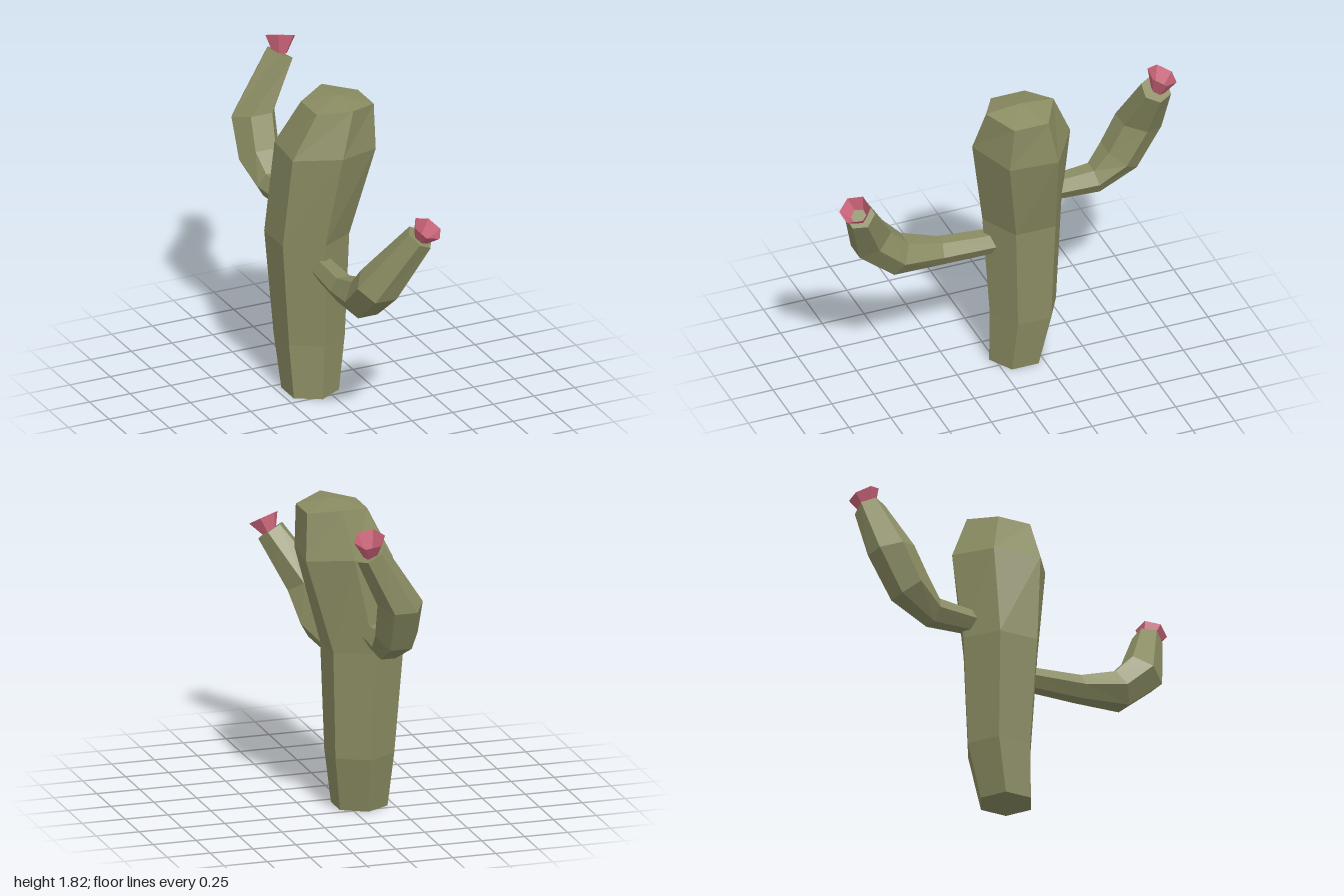
import * as THREE from 'three';

const SIDES = 6;
const V = (a) => new THREE.Vector3(...a);

// Six points around c in the plane of s and u, counterclockwise about s x u.
function hexRing(c, s, u, r, turn = 0) {
  return Array.from({ length: SIDES }, (_, k) => {
    const a = turn + (k / SIDES) * Math.PI * 2;
    return c.clone().addScaledVector(s, r * Math.cos(a)).addScaledVector(u, r * Math.sin(a));
  });
}

// Skin consecutive rings; optional fan caps close the ends at the given points.
function loft(rings, startCap, endCap) {
  const pos = [];
  const tri = (...pts) => pts.forEach((p) => pos.push(p.x, p.y, p.z));
  for (let k = 0; k < SIDES; k++) {
    const n = (k + 1) % SIDES;
    for (let i = 0; i + 1 < rings.length; i++) {
      const a = rings[i], b = rings[i + 1];
      tri(a[k], a[n], b[n]);
      tri(a[k], b[n], b[k]);
    }
    const last = rings[rings.length - 1];
    if (startCap) tri(startCap, rings[0][n], rings[0][k]);
    if (endCap) tri(endCap, last[k], last[n]);
  }
  const geo = new THREE.BufferGeometry();
  geo.setAttribute('position', new THREE.Float32BufferAttribute(pos, 3));
  geo.computeVertexNormals();
  return geo;
}

// Ring axes facing along t, with the side axis kept as near +x as possible.
function axes(t) {
  const s = new THREE.Vector3(1, 0, 0);
  s.addScaledVector(t, -s.dot(t)).normalize();
  return [s, t.clone().cross(s)];
}

// Trunk: rows of [x, y, z, radius, turn, lift of the front and back corners]
function trunkGeometry() {
  const rows = [
    [-0.072, 0, -0.13, 0.16, 0, 0],
    [-0.06, 0.32, -0.167, 0.198, 0, 0],
    [-0.075, 0.94, -0.167, 0.236, 0, 0.01],
    [0.018, 1.47, -0.125, 0.284, -0.09, 0.03],
    [0.077, 1.73, -0.092, 0.202, 0, 0.03],
  ];
  const rings = rows.map(([x, y, z, r, turn, lift]) => {
    const ring = hexRing(V([x, y, z]), V([0, 0, 1]), V([1, 0, 0]), r, turn);
    ring.forEach((p, k) => { if (k % 3 === 0) p.y += lift; });
    return ring;
  });
  return loft(rings, V([-0.072, 0, -0.13]), V([0.077, 1.78, -0.09]));
}

// Arm: rows of [x, y, z, radius] along its centre line
function armGeometry(rows) {
  const pts = rows.map(V3 => V(V3.slice(0, 3)));
  const end = pts.length - 1;
  const rings = pts.map((p, i) => {
    const t = pts[Math.min(i + 1, end)].clone().sub(pts[Math.max(i - 1, 0)]);
    if (i < end) t.x = 0; // only the tip leans sideways
    return hexRing(p, ...axes(t.normalize()), rows[i][3]);
  });
  return loft(rings, pts[0], pts[end]);
}

// Flower: open six-sided cup from its base to its rim
function flowerGeometry(base, rim, axis) {
  const [s, u] = axes(V(axis).normalize());
  return loft([hexRing(V(base), s, u, 0.042), hexRing(V(rim), s, u, 0.09)], V(base));
}

export function createModel() {
  const green = new THREE.MeshStandardMaterial({ color: 0x8a8c62, flatShading: true });
  green.name = 'cactusGreen';
  const pink = new THREE.MeshStandardMaterial({ color: 0xcf667c, flatShading: true, side: THREE.DoubleSide });
  pink.name = 'flowerPink';

  const model = new THREE.Group();
  model.name = 'cactus';
  const add = (name, geo, mat) => {
    const mesh = new THREE.Mesh(geo, mat);
    mesh.name = name;
    model.add(mesh);
  };

  add('trunk', trunkGeometry(), green);

  add('frontArm', armGeometry([
    [-0.065, 0.795, -0.02, 0.069],
    [-0.085, 0.8, 0.325, 0.081],
    [-0.08, 0.845, 0.575, 0.118],
    [-0.07, 0.993, 0.737, 0.13],
    [0.115, 1.305, 0.88, 0.085],
  ]), green);
  add('frontFlower', flowerGeometry([0.12, 1.295, 0.883], [0.142, 1.37, 0.92], [0.3, 0.87, 0.4]), pink);

  add('backArm', armGeometry([
    [-0.075, 1.052, -0.3, 0.066],
    [-0.08, 1.055, -0.6, 0.087],
    [-0.085, 1.165, -0.75, 0.124],
    [-0.07, 1.378, -0.862, 0.132],
    [0.112, 1.692, -0.894, 0.088],
  ]), green);
  add('backFlower', flowerGeometry([0.115, 1.685, -0.902], [0.128, 1.785, -0.923], [0.18, 0.9, -0.36]), pink);

  return model;
}
